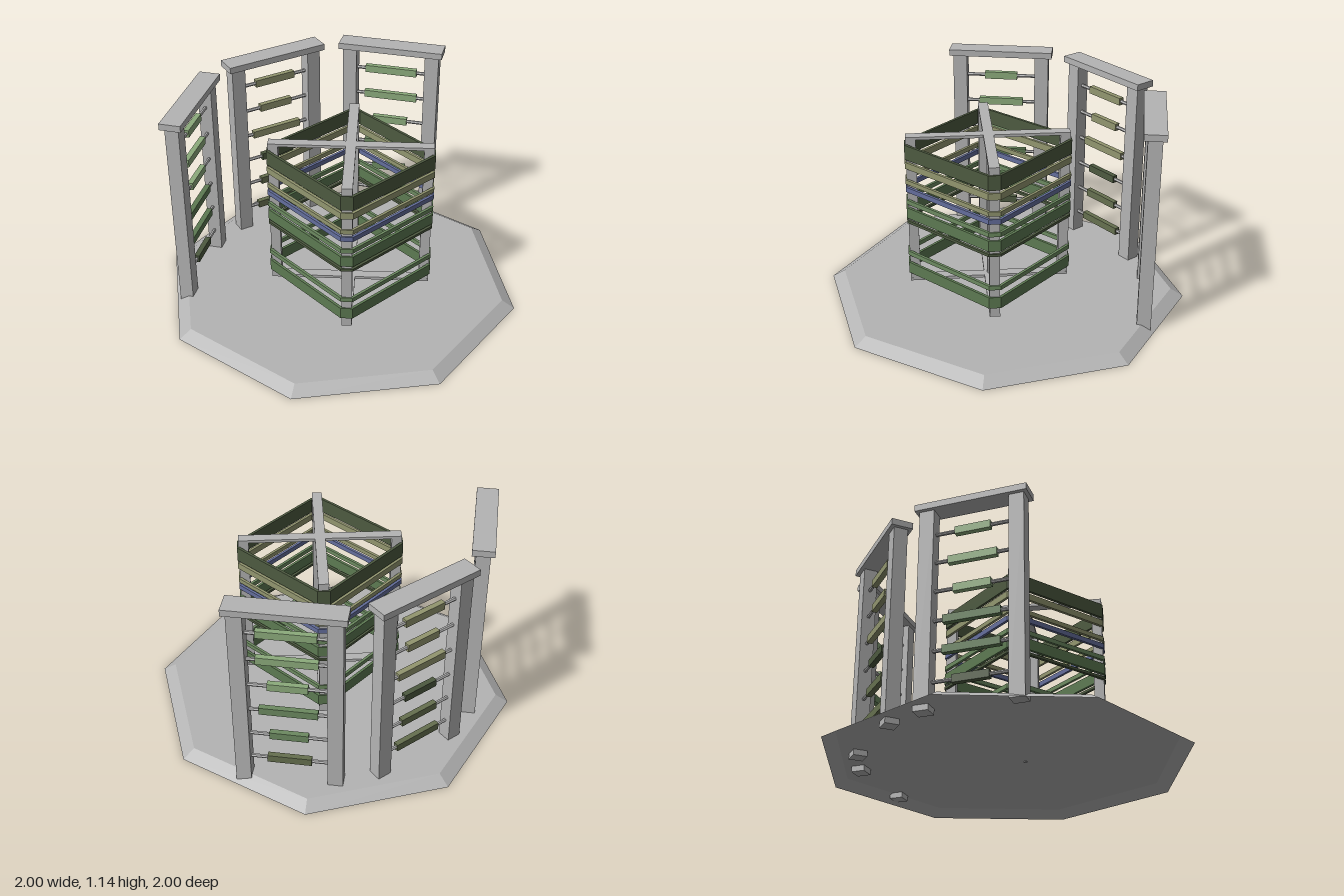
import * as THREE from 'three';

const mat = (name, color, side = THREE.FrontSide) => {
  const m = new THREE.MeshStandardMaterial({ color, side });
  m.name = name;
  return m;
};

const M = {
  stone: mat('pale grey', 0xb4b4b4),
  plinth: mat('plinth grey', 0xb4b4b4, THREE.DoubleSide),
  light: mat('light green', 0x8cab7c),
  green: mat('green', 0x6c8a60),
  mid: mat('leaf green', 0x5d7a52),
  dark: mat('dark green', 0x4d5a40),
  olive: mat('olive', 0x92966f),
  moss: mat('moss', 0x66704f),
  blue: mat('slate blue', 0x646e9c),
};

const flat = (geometry) => {
  const g = geometry.index ? geometry.toNonIndexed() : geometry;
  g.computeVertexNormals();
  return g;
};

function add(parent, name, geometry, material, x = 0, y = 0, z = 0) {
  const mesh = new THREE.Mesh(geometry, material);
  mesh.name = name;
  mesh.position.set(x, y, z);
  parent.add(mesh);
  return mesh;
}

const box = (w, h, d) => new THREE.BoxGeometry(w, h, d);

// Open-bottomed octagonal plinth: sloping skirt and top plate
function makePlinth() {
  const g = new THREE.Group();
  g.name = 'plinth';
  const h = 0.043;
  add(g, 'plinthSkirt', flat(new THREE.CylinderGeometry(0.93, 1, h, 8, 1, true)), M.plinth, 0, h / 2);
  add(g, 'plinthTop', new THREE.CircleGeometry(0.93, 8).rotateX(-Math.PI / 2), M.plinth, 0, h);
  return g;
}

// Upright frame: two posts, a cap and six rods carrying sleeves [length, colour]
function makeFrame(name, x, z, turn, sleeves) {
  const g = new THREE.Group();
  g.name = name;
  g.position.set(x, 0, z);
  g.rotation.y = turn;
  add(g, 'cap', box(0.6, 0.036, 0.117), M.stone, 0, 1.127);
  for (const s of [-1, 1]) add(g, 'post', box(0.08, 1.1, 0.075), M.stone, s * 0.24, 0.562);
  const rod = flat(new THREE.CylinderGeometry(0.01, 0.01, 0.42, 6).rotateZ(Math.PI / 2));
  sleeves.forEach(([length, colour], i) => {
    const y = 0.165 + i * 0.163;
    add(g, 'rod', rod, M.stone, 0, y);
    add(g, 'sleeve', box(length, 0.042, 0.03), colour, 0, y);
  });
  return g;
}

// Chamfered square ring, drawn with its corners on the axes
function bandGeometry(height) {
  const corners = (k) => {
    const pts = [];
    for (let i = 0; i < 4; i++) {
      for (const s of [-0.032, 0.032]) {
        pts.push(new THREE.Vector2(0.442 * k, s * k).rotateAround(new THREE.Vector2(), i * Math.PI / 2));
      }
    }
    return pts;
  };
  const shape = new THREE.Shape(corners(1));
  shape.holes.push(new THREE.Path(corners(0.955).reverse()));
  return new THREE.ExtrudeGeometry(shape, { depth: height, bevelEnabled: false }).rotateX(-Math.PI / 2);
}

// Central cage: pole, crossed beams, corner posts and stacked bands
function makeCage() {
  const g = new THREE.Group();
  g.name = 'cage';
  g.position.set(0, 0, 0.115);
  g.rotation.y = -0.59;
  add(g, 'pole', flat(new THREE.CylinderGeometry(0.011, 0.011, 0.93, 8)), M.stone, 0, 0.505);
  for (const y of [0.123, 0.967]) {
    add(g, 'crossBeam', box(0.87, 0.016, 0.055), M.stone, 0, y);
    add(g, 'crossBeam', box(0.055, 0.016, 0.87), M.stone, 0, y);
  }
  for (let i = 0; i < 4; i++) {
    const a = i * Math.PI / 2;
    add(g, 'cornerPost', box(0.054, 0.84, 0.054), M.stone, 0.408 * Math.cos(a), 0.545, 0.408 * Math.sin(a));
  }
  const bands = [
    [0.17, 0.235, M.mid], [0.28, 0.305, M.green], [0.478, 0.493, M.dark],
    [0.508, 0.57, M.mid], [0.592, 0.617, M.green], [0.664, 0.692, M.blue],
    [0.71, 0.735, M.olive], [0.8, 0.837, M.olive], [0.853, 0.935, M.dark],
  ];
  for (const [low, high, colour] of bands) add(g, 'band', bandGeometry(high - low), colour, 0, low);
  return g;
}

export function createModel() {
  const model = new THREE.Group();
  model.name = 'pavilion';
  model.add(makePlinth(), makeCage());
  // Sleeves run from the bottom rod to the top rod
  model.add(makeFrame('backFrame', 0, -0.733, 0, [
    [0.28, M.moss], [0.23, M.moss], [0.205, M.dark], [0.305, M.olive], [0.2, M.olive], [0.245, M.olive],
  ]));
  model.add(makeFrame('leftFrame', 0.631, -0.474, -Math.PI / 4, [
    [0.23, M.moss], [0.2, M.green], [0.3, M.green], [0.205, M.light], [0.31, M.light], [0.3, M.light],
  ]));
  model.add(makeFrame('rightFrame', -0.631, -0.474, Math.PI / 4, [
    [0.19, M.dark], [0.3, M.mid], [0.3, M.mid], [0.2, M.light], [0.26, M.light], [0.19, M.light],
  ]));
  return model;
}
